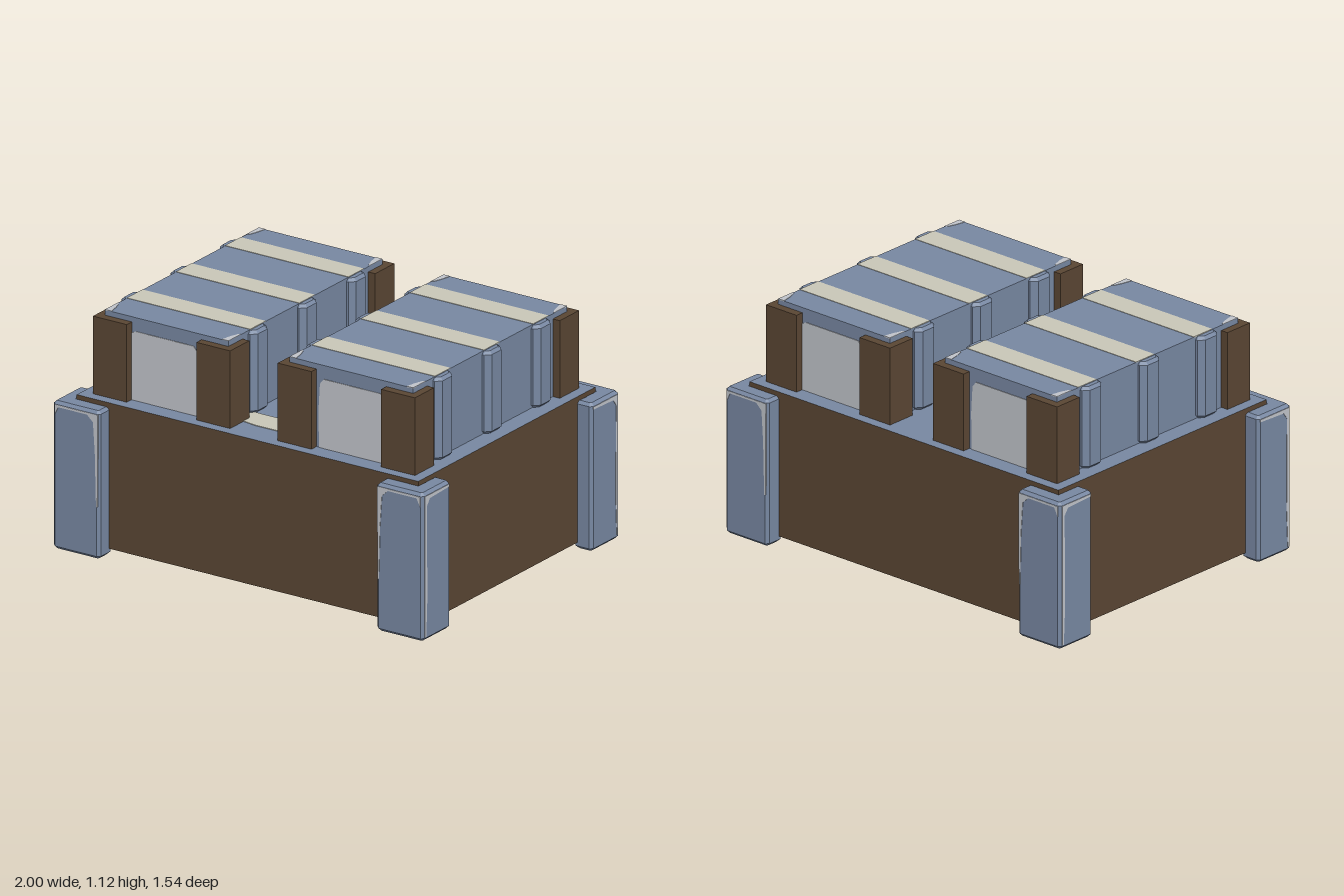
import * as THREE from 'three';

const mat = (name, color) => {
  const m = new THREE.MeshStandardMaterial({ color });
  m.name = name;
  return m;
};

export function createModel() {
  const blue = mat('steelBlue', 0x7888a2);
  const brown = mat('brown', 0x5a4633);
  const pale = mat('paleGrey', 0xc1c4ca);
  const cream = mat('cream', 0xc9c7b8);
  const model = new THREE.Group();

  const add = (parent, name, geo, material) => {
    const m = new THREE.Mesh(geo, material);
    m.name = name;
    parent.add(m);
    return m;
  };

  // Box given by its min and max corners
  const box = (parent, name, material, x0, x1, y0, y1, z0, z1) => {
    const g = new THREE.BoxGeometry(Math.abs(x1 - x0), y1 - y0, Math.abs(z1 - z0));
    g.translate((x0 + x1) / 2, (y0 + y1) / 2, (z0 + z1) / 2);
    return add(parent, name, g, material);
  };

  // Upright prism over a plan outline of [x, z] points
  const prism = (parent, name, material, pts, y0, y1, bevel = 0) => {
    const shape = new THREE.Shape(pts.map(([x, z]) => new THREE.Vector2(x, -z)));
    const g = new THREE.ExtrudeGeometry(shape, {
      depth: y1 - y0 - 2 * bevel, bevelEnabled: bevel > 0, bevelSegments: 1,
      bevelSize: bevel, bevelThickness: bevel, bevelOffset: -bevel,
    });
    g.rotateX(-Math.PI / 2).translate(0, y0 + bevel, 0);
    return add(parent, name, g, material);
  };

  // Thin painted plate, drawn in the xy plane around z = 0
  const plate = (pts, t = 0.006) => new THREE.ExtrudeGeometry(
    new THREE.Shape(pts.map(([x, y]) => new THREE.Vector2(x, y))),
    { depth: t, bevelEnabled: false }).translate(0, 0, -t / 2);

  // Base block: brown walls, blue top and underside
  box(model, 'base', [brown, brown, blue, blue, brown, brown], -0.92, 0.92, 0.03, 0.725, -0.69, 0.69);
  prism(model, 'floorPatch', cream,
    [[-0.16, 0.42], [0.16, 0.42], [0.165, 0.53], [0.06, 0.548], [-0.06, 0.548], [-0.165, 0.53]], 0.724, 0.728);

  // Corner guards with worn edges
  for (const sx of [-1, 1]) for (const sz of [-1, 1]) {
    const leg = new THREE.Group();
    leg.name = 'cornerGuard';
    model.add(leg);
    const c = 0.014;
    const pts = [[0.745, 0.767 - c], [0.745 + c, 0.767], [0.998 - c, 0.767], [0.998, 0.767 - c],
      [0.998, 0.55 + c], [0.998 - c, 0.55], [0.91, 0.55], [0.91, 0.68], [0.745, 0.68]];
    prism(leg, 'guardBody', blue, pts.map(([x, z]) => [sx * x, sz * z]), 0, 0.705, 0.014);

    const endWear = [[0.755, 0.25], [0.752, 0.69], [0.985, 0.69], [0.985, 0.64], [0.965, 0.68],
      [0.81, 0.68], [0.778, 0.65], [0.768, 0.5], [0.762, 0.25]];
    add(leg, 'endWear', plate(endWear.map(([x, y]) => [sx * x, y])), pale)
      .position.z = sz * 0.766;

    const sideWear = [[0.562, 0.69], [0.753, 0.69], [0.753, 0.02], [0.743, 0.02], [0.735, 0.2],
      [0.738, 0.64], [0.715, 0.672], [0.562, 0.678]];
    add(leg, 'sideWear', plate(sideWear.map(([z, y]) => [-sz * z, y])).rotateY(Math.PI / 2), pale)
      .position.x = sx * 0.997;

    // Pale inner lining below the base
    box(leg, 'innerLining', pale, sx * 0.77, sx * 0.908, 0.014, 0.032, sz * 0.676, sz * 0.681);
    box(leg, 'innerLining', pale, sx * 0.906, sx * 0.911, 0.014, 0.032, sz * 0.57, sz * 0.678);
  }

  // Two cargo boxes side by side
  const inner = 0.165, outer = 0.83, mid = (inner + outer) / 2, half = (outer - inner) / 2;
  for (const sx of [-1, 1]) {
    const crate = new THREE.Group();
    crate.name = 'cargoBox';
    model.add(crate);
    box(crate, 'boxBody', blue, sx * inner, sx * outer, 0.72, 1.12, -0.6, 0.6);

    // Stripes over the top, ending in ribs down both sides
    for (const z of [-0.383, 0, 0.383]) {
      box(crate, 'topStripe', cream, sx * inner, sx * outer, 1.117, 1.122, z - 0.075, z + 0.047);
      for (const side of [-1, 1]) {
        const rib = [[half - 0.03, -0.063], [half + 0.01, -0.063], [half + 0.035, -0.037],
          [half + 0.035, 0.037], [half + 0.01, 0.063], [half - 0.03, 0.063]];
        prism(crate, 'rib', blue, rib.map(([x, dz]) => [sx * mid + side * x, z + dz]), 0.725, 1.118, 0.014);
      }
    }

    for (const sz of [-1, 1]) {
      // Pale end panel with rounded upper corners
      const panel = [[0.325, 0.725], [0.322, 0.9], [0.33, 1.03], [0.35, 1.055], [0.665, 1.055],
        [0.69, 1.04], [0.695, 0.725]];
      add(crate, 'endPanel', plate(panel.map(([x, y]) => [sx * x, y])), pale)
        .position.z = sz * 0.6;

      for (const side of [-1, 1]) {
        // Brown angle post on each corner
        const post = [[half - 0.145, 0.595], [half - 0.145, 0.64], [half + 0.037, 0.64],
          [half + 0.037, 0.49], [half - 0.005, 0.49], [half - 0.005, 0.595]];
        prism(crate, 'cornerPost', brown,
          post.map(([x, z]) => [sx * mid + side * x, sz * z]), 0.725, 1.095);

        // Worn top corner
        const wear = [[half, 0.6], [half - 0.035, 0.6], [half - 0.025, 0.55], [half - 0.012, 0.51], [half, 0.5]];
        prism(crate, 'cornerWear', pale,
          wear.map(([x, z]) => [sx * mid + side * x, sz * z]), 1.117, 1.122);
      }
    }
  }
  return model;
}
